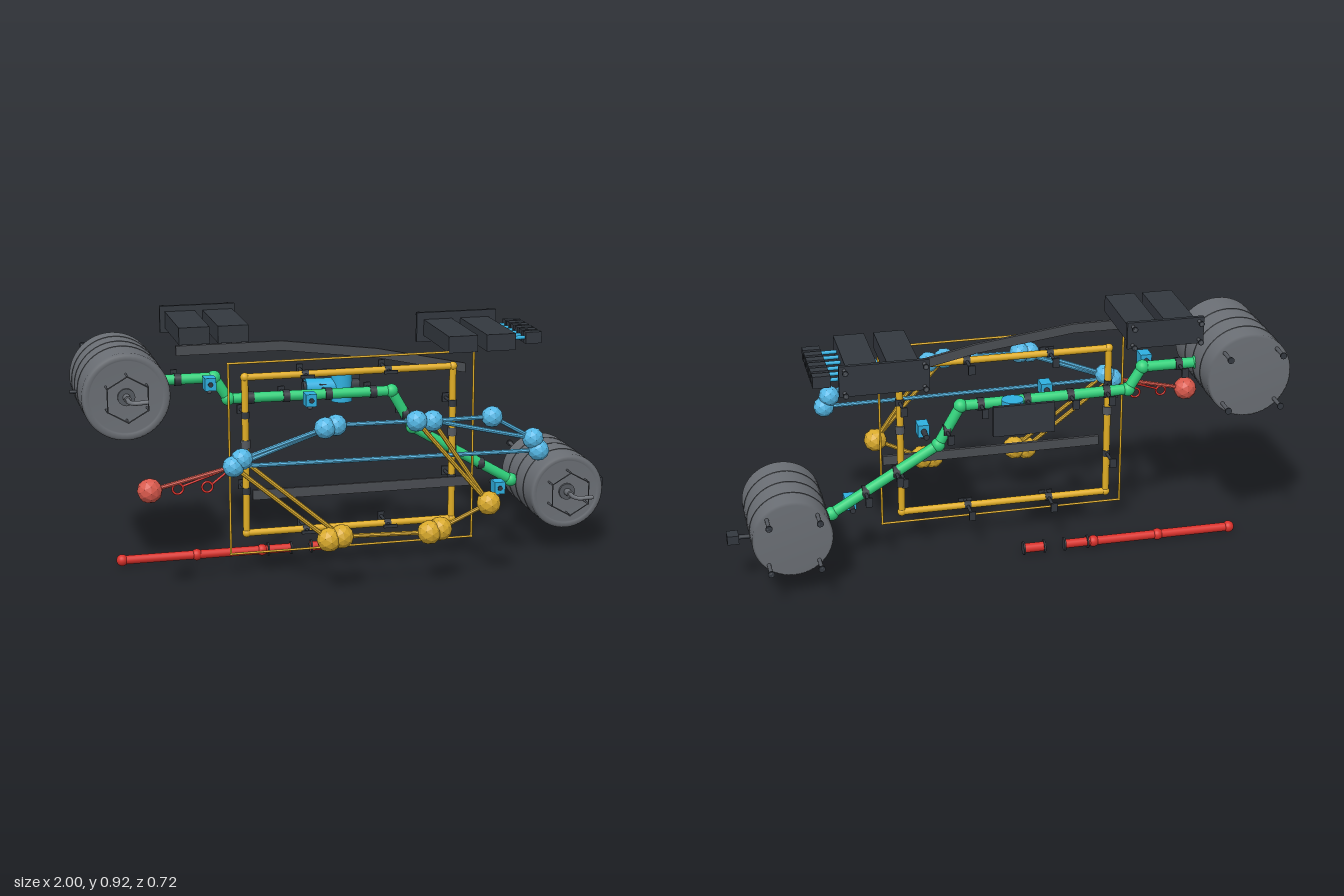
import * as THREE from 'three';

const mat = (color, flatShading = false) => new THREE.MeshStandardMaterial({ color, flatShading });
const M = {
  yellow: mat(0xe0ad24), green: mat(0x2fd07a), red: mat(0xd9302a), blue: mat(0x2fb0e0),
  dark: mat(0x33383f), strip: mat(0x4a4d52), tank: mat(0x6b6f75), steel: mat(0x55595f),
  blueBall: mat(0x55b8e6, true), yellowBall: mat(0xd9aa2c, true), redBall: mat(0xd9594c, true),
};
const V = (p) => new THREE.Vector3(...p);

export function createModel() {
  const root = new THREE.Group();

  const add = (parent, name, geo, material, pos = [0, 0, 0]) => {
    const m = new THREE.Mesh(geo, material);
    m.name = name;
    m.position.set(...pos);
    parent.add(m);
    return m;
  };
  const group = (name, pos = [0, 0, 0]) => {
    const g = new THREE.Group();
    g.name = name;
    g.position.set(...pos);
    root.add(g);
    return g;
  };
  const box = (parent, name, size, pos, material) => add(parent, name, new THREE.BoxGeometry(...size), material, pos);
  // Cylinder running from a to b
  const rod = (parent, name, a, b, r, material, sides = 12) => {
    const A = V(a), d = V(b).sub(A);
    const m = add(parent, name, new THREE.CylinderGeometry(r, r, d.length(), sides), material);
    m.position.copy(A).addScaledVector(d, 0.5);
    m.quaternion.setFromUnitVectors(new THREE.Vector3(0, 1, 0), d.normalize());
    return m;
  };
  const ball = (parent, name, p, r, material) => add(parent, name, new THREE.SphereGeometry(r, 16, 12), material, p);
  // Run of pipe with round joints
  const pipe = (parent, name, pts, r, material, jointR = r * 1.25, closed = false) => {
    pts.forEach((p, i) => {
      ball(parent, name + 'Joint', p, jointR, material);
      if (closed || i < pts.length - 1) rod(parent, name, p, pts[(i + 1) % pts.length], r, material, 16);
    });
  };
  // Collar round the pipe plus a stand-off rod with a foot, reaching along -z
  const bracket = (parent, [x, y, z], len, horizontal, r) => {
    const h = horizontal ? [0.012, 0, 0] : [0, 0.012, 0];
    rod(parent, 'clampCollar', [x - h[0], y - h[1], z], [x + h[0], y + h[1], z], r * 1.2, M.dark);
    rod(parent, 'clampStem', [x, y, z], [x, y, z - len], 0.006, M.dark, 8);
    box(parent, 'clampFoot', [0.024, 0.034, 0.008], [x, y, z - len], M.dark);
  };
  // Anchor bolt with foot disc
  const bolt = (parent, x, y, z0, z1, r) => {
    rod(parent, 'anchorBolt', [x, y, z0], [x, y, z1], r, M.steel, 10);
    rod(parent, 'anchorFoot', [x, y, z1 + 0.006], [x, y, z1], r * 1.7, M.dark, 10);
  };

  // Yellow pipe frame and thin outer wire frame
  const frame = group('yellowPipeFrame');
  const rect = (x0, x1, y0, y1, z) => [[x0, y0, z], [x1, y0, z], [x1, y1, z], [x0, y1, z]];
  pipe(frame, 'yellowPipe', rect(-0.395, 0.36, 0.145, 0.71, 0), 0.0125, M.yellow, 0.016, true);
  pipe(frame, 'outlineWire', rect(-0.46, 0.425, 0.083, 0.77, 0.04), 0.004, M.yellow, 0.005, true);
  for (const y of [0.145, 0.71]) for (const x of [-0.18, 0.12]) {
    bracket(frame, [x, y, 0], 0.09, true, 0.0125);
    rod(frame, 'valveStem', [x, y, 0], [x, y, 0.045], 0.005, M.dark, 8);
    box(frame, 'valveHandle', [0.05, 0.012, 0.006], [x, y, 0.045], M.dark);
  }
  for (const x of [-0.395, 0.36]) {
    for (const y of [0.3, 0.575]) bracket(frame, [x, y, 0], 0.09, false, 0.0125);
    rod(frame, 'union', [x, 0.455, 0], [x, 0.485, 0], 0.017, M.steel, 16);
  }

  // Green main pipe
  const gz = -0.134, green = group('greenMainPipe');
  pipe(green, 'greenPipe', [[-0.68, 0.685, gz], [-0.48, 0.685, gz], [-0.43, 0.605, gz], [0.17, 0.6, gz],
    [0.25, 0.46, gz], [0.63, 0.235, gz]], 0.019, M.green, 0.025);
  for (const [x, y] of [[-0.61, 0.685], [-0.35, 0.604], [-0.22, 0.603], [-0.065, 0.602], [0.1, 0.6],
    [0.22, 0.512], [0.4, 0.371], [0.51, 0.306]]) bracket(green, [x, y, gz], 0.085, true, 0.019);
  // Blue sensor boxes on stems
  for (const [x, y] of [[-0.51, 0.683], [-0.15, 0.605], [0.29, 0.49], [0.555, 0.235]]) {
    box(green, 'sensorBox', [0.04, 0.045, 0.052], [x, y, -0.055], M.blue);
    rod(green, 'sensorStem', [x, y, -0.08], [x, y, gz], 0.01, M.dark);
    ball(green, 'sensorKnob', [x, y - 0.028, -0.055], 0.01, M.steel);
    rod(green, 'sensorButton', [x, y, -0.03], [x, y, -0.024], 0.009, M.dark);
  }

  // Red pipe lying low, split by a gap with flanges
  const rz = -0.155, ry = 0.028, red = group('redPipe');
  pipe(red, 'redPipe', [[-0.82, ry, rz], [-0.55, ry, rz], [-0.31, ry, rz]], 0.016, M.red, 0.021);
  rod(red, 'redPipe', [-0.31, ry, rz], [-0.2, ry, rz], 0.016, M.red, 16);
  rod(red, 'redPipe', [-0.13, ry, rz], [-0.055, ry, rz], 0.017, M.red, 16);
  for (const x of [-0.29, -0.205, -0.13, -0.055]) rod(red, 'flange', [x, ry, rz], [x + 0.006, ry, rz], 0.024, M.dark, 16);

  // Horizontal tanks along z
  const tank = (name, x, y, r, zf) => {
    const g = group(name, [x, y, 0]), zb = -0.29, L = zf - zb;
    const profile = [[0, 0], [r - 0.008, 0], [r, 0.008], [r, L - 0.008], [r - 0.008, L], [r * 0.84, L],
      [r * 0.82, L - 0.005], [0, L - 0.005]].map((p) => new THREE.Vector2(...p));
    const shell = new THREE.LatheGeometry(profile, 48).toNonIndexed();
    shell.rotateX(Math.PI / 2);
    add(g, 'tankShell', shell, M.tank, [0, 0, zb]);
    for (const z of [-0.035, -0.12, -0.205]) add(g, 'seam', new THREE.TorusGeometry(r, 0.002, 6, 48), M.steel, [0, 0, z]);
    const b = r * 0.62;
    for (const sx of [-1, 1]) for (const sy of [-1, 1]) bolt(g, sx * b, sy * b, zb + 0.01, -0.36, 0.007);
    // Outlet with bent tip
    rod(g, 'outletHub', [0, 0, zf - 0.01], [0, 0, zf + 0.04], 0.013, M.tank, 16);
    rod(g, 'outletFlange', [0, 0, zf - 0.01], [0, 0, zf + 0.004], 0.03, M.steel, 20);
    const bend = new THREE.CatmullRomCurve3([[0, 0, zf + 0.03], [0, 0, zf + 0.075], [0.012, 0, zf + 0.095],
      [0.062, 0.004, zf + 0.105]].map(V));
    add(g, 'outletPipe', new THREE.TubeGeometry(bend, 16, 0.008, 10), M.tank);
    // Thin guard ring on six pins
    const R = 0.08;
    const ring = add(g, 'guardRing', new THREE.TorusGeometry(R, 0.0025, 6, 6), M.steel, [0, 0, zf + 0.04]);
    ring.rotation.z = Math.PI / 6;
    for (let i = 0; i < 6; i++) {
      const a = Math.PI / 6 + i * Math.PI / 3, px = R * Math.cos(a), py = R * Math.sin(a);
      rod(g, 'guardPin', [px, py, zf - 0.01], [px, py, zf + 0.04], 0.0035, M.steel, 8);
    }
    return g;
  };
  const upperTank = tank('upperTank', -0.82, 0.683, 0.152, 0.088);
  rod(upperTank, 'sideNub', [-0.14, 0, -0.04], [-0.178, 0, -0.04], 0.006, M.dark);
  const lowerTank = tank('lowerTank', 0.785, 0.229, 0.139, 0.05);
  rod(lowerTank, 'sideStem', [0.12, -0.03, -0.17], [0.18, -0.03, -0.17], 0.008, M.dark);
  box(lowerTank, 'sideGauge', [0.04, 0.032, 0.046], [0.195, -0.03, -0.17], M.dark);

  // Paired black cabinets on back plates
  const cabinet = (name, x0, x1, y0, y1, boxes, by, zf) => {
    const g = group(name), cx = (x0 + x1) / 2;
    box(g, 'backPlate', [x1 - x0, y1 - y0, 0.014], [cx, (y0 + y1) / 2, -0.287], M.dark);
    for (const x of boxes) box(g, 'cabinetBox', [0.107, 0.06, zf + 0.285], [x, by, (zf - 0.285) / 2], M.dark);
    for (const x of [x0 + 0.018, x1 - 0.018]) for (const y of [y0 + 0.014, y1 - 0.014]) bolt(g, x, y, -0.285, -0.325, 0.006);
    return g;
  };
  cabinet('upperCabinet', -0.645, -0.375, 0.825, 0.92, [-0.573, -0.437], 0.87, 0.025);
  const cab = cabinet('lowerCabinet', 0.305, 0.61, 0.743, 0.852, [0.385, 0.525], 0.796, 0.045);
  for (let i = 0; i < 6; i++) {
    const z = -0.025 - i * 0.047;
    rod(cab, 'plugStem', [0.57, 0.795, z], [0.64, 0.795, z], 0.007, M.blue, 8);
    box(cab, 'plug', [0.06, 0.042, 0.032], [0.665, 0.795, z], M.dark);
  }

  // Flat cable strips
  const top = [[-0.63, 0.81], [-0.256, 0.81], [0.09, 0.765], [0.415, 0.695]], h = 0.017;
  const outline = new THREE.Shape([...top.map(([x, y]) => new THREE.Vector2(x, y - h)),
    ...top.slice().reverse().map(([x, y]) => new THREE.Vector2(x, y + h))]);
  add(root, 'upperStrip', new THREE.ExtrudeGeometry(outline, { depth: 0.012, bevelEnabled: false }), M.strip, [0, 0, -0.036]);
  box(root, 'lowerStrip', [0.8, 0.035, 0.012], [0.01, 0.31, 0.092], M.strip);

  // Pump and motor on a plate
  const pump = group('pump');
  box(pump, 'pumpPlate', [0.215, 0.11, 0.012], [-0.017, 0.602, -0.293], M.dark);
  rod(pump, 'pumpBody', [0.01, 0.548, -0.24], [0.01, 0.655, -0.24], 0.038, M.blue, 24);
  rod(pump, 'motorBody', [-0.125, 0.602, -0.245], [0.01, 0.602, -0.245], 0.033, M.blue, 20);
  rod(pump, 'pumpShaft', [-0.135, 0.602, -0.243], [0.075, 0.602, -0.243], 0.025, M.dark, 8);

  // Faceted ball-and-rod chains in front
  const chain = (name, material, r, balls, links) => {
    const g = group(name);
    for (const p of balls) add(g, 'chainBall', new THREE.IcosahedronGeometry(r, 1), material, p);
    for (const [a, b] of links) rod(g, 'chainRod', a, b, 0.008, material, 8);
  };
  const B = [[-0.49, 0.468, 0.275], [-0.46, 0.49, 0.27], [-0.18, 0.59, 0.305], [-0.14, 0.595, 0.295], [0.14, 0.595, 0.305],
    [0.2, 0.59, 0.295], [0.415, 0.59, 0.29], [0.57, 0.5, 0.275], [0.59, 0.457, 0.28]];
  const Y = [[-0.17, 0.198, 0.315], [-0.125, 0.205, 0.31], [0.187, 0.198, 0.315], [0.228, 0.205, 0.305], [0.4, 0.288, 0.315]];
  const link = (P, pairs, Q = P) => pairs.map(([i, j]) => [P[i], Q[j]]);
  chain('blueChain', M.blueBall, 0.038, B, link(B, [[1, 2], [0, 3], [2, 3], [3, 4], [4, 5], [5, 6], [6, 7], [5, 7], [7, 8], [0, 8]]));
  chain('yellowChain', M.yellowBall, 0.043, Y,
    [...link(Y, [[0, 1], [1, 2], [2, 3], [3, 4]]), ...link(Y, [[0, 0], [1, 1], [4, 4], [4, 5]], B)]);
  const R0 = [-0.775, 0.402, 0.272], rings = [[-0.68, 0.402, 0.272], [-0.58, 0.402, 0.272]];
  chain('redChain', M.redBall, 0.043, [R0], [[R0, B[0]]]);
  const redLinks = group('redRings');
  for (const p of rings) {
    add(redLinks, 'redRing', new THREE.TorusGeometry(0.018, 0.004, 8, 20), M.red, p);
    rod(redLinks, 'redLine', [p[0] + 0.016, p[1] + 0.008, p[2]], B[0], 0.004, M.red, 8);
  }
  return root;
}
